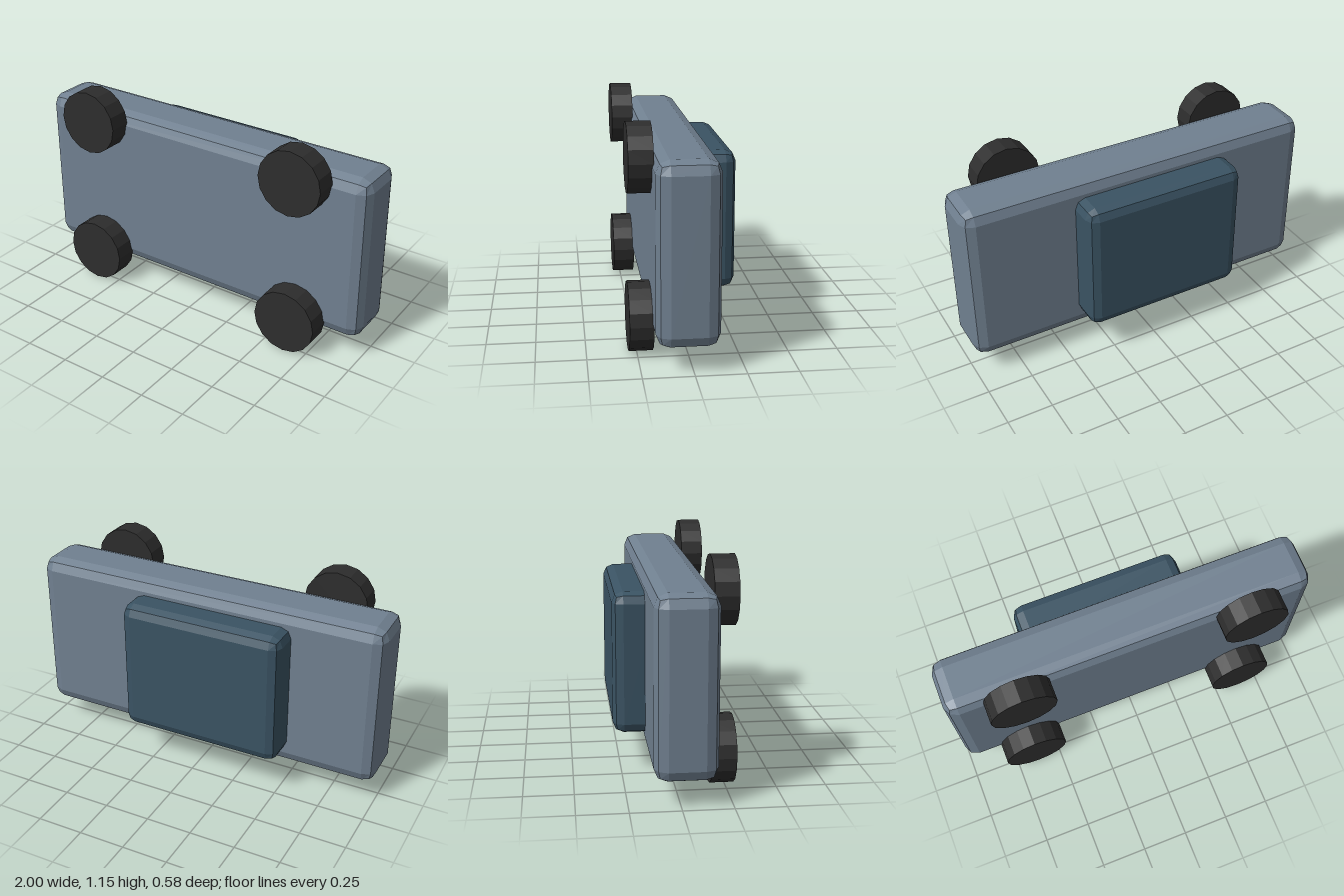
import * as THREE from 'three';

const paint = new THREE.MeshStandardMaterial({ name: 'slate body', color: 0x708090 });
const dark = new THREE.MeshStandardMaterial({ name: 'dark cabin', color: 0x3a5363 });
const rubber = new THREE.MeshStandardMaterial({ name: 'black rubber', color: 0x2d2d2d });
for (const m of [paint, dark, rubber]) m.flatShading = true;

// Box between two corners, with every edge rounded in two flat steps
function bevelBox(name, min, max, r, material) {
  const lo = new THREE.Vector3(...min), hi = new THREE.Vector3(...max);
  const half = hi.clone().sub(lo).multiplyScalar(0.5);
  const inner = half.clone().subScalar(r);
  const geo = new THREE.BoxGeometry(2, 2, 2, 3, 3, 3);
  const pos = geo.attributes.position;
  const p = new THREE.Vector3(), core = new THREE.Vector3();
  const place = (v, h) => Math.sign(v) * (Math.abs(v) > 0.9 ? h : h - r);
  for (let i = 0; i < pos.count; i++) {
    p.fromBufferAttribute(pos, i);
    p.set(place(p.x, half.x), place(p.y, half.y), place(p.z, half.z));
    core.copy(p).clamp(inner.clone().negate(), inner);
    p.sub(core).setLength(r).add(core);
    pos.setXYZ(i, p.x, p.y, p.z);
  }
  const flat = geo.toNonIndexed();
  flat.computeVertexNormals();
  const mesh = new THREE.Mesh(flat, material);
  mesh.name = name;
  mesh.position.copy(lo).add(hi).multiplyScalar(0.5);
  return mesh;
}

export function createModel() {
  const car = new THREE.Group();
  car.name = 'car';

  // Car standing on its side: roof to the back, wheels to the front
  car.add(bevelBox('body', [-1, 0.126, -0.13], [1, 1.032, 0.18], 0.066, paint));
  car.add(bevelBox('cabin', [-0.51, 0.212, -0.292], [0.4, 0.946, -0.02], 0.056, dark));

  // Wheels
  const wheelGeo = new THREE.CylinderGeometry(0.175, 0.175, 0.12, 16);
  wheelGeo.rotateX(Math.PI / 2);
  for (const x of [-0.63, 0.63]) {
    for (const y of [0.177, 0.981]) {
      const wheel = new THREE.Mesh(wheelGeo, rubber);
      wheel.name = 'wheel';
      wheel.position.set(x, y, 0.232);
      car.add(wheel);
    }
  }
  return car;
}
